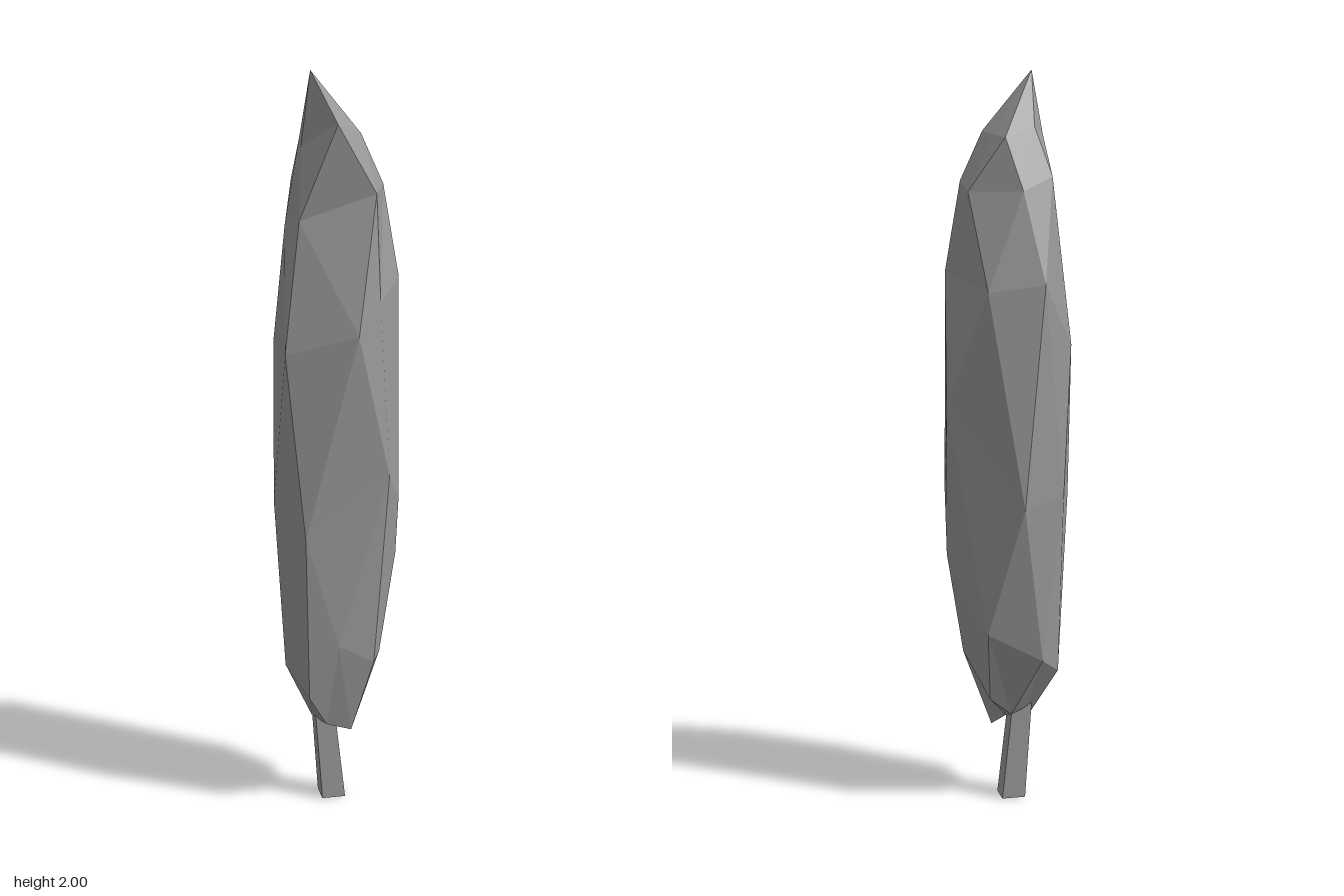
import * as THREE from 'three';

const SIDES = 7;

// Crown cross-sections from bottom to top; each point sits between two of the ring below
const RINGS = [
  // underside
  [[-0.07, 0.24, 0.03], [-0.03, 0.23, 0.08], [0.04, 0.2, 0.05], [0.12, 0.42, 0.02],
    [0.05, 0.3, -0.05], [-0.01, 0.25, -0.03], [-0.05, 0.26, 0]],
  // lower bulge
  [[-0.08, 0.33, 0.14], [0, 0.48, 0.145], [0.1, 0.41, 0.08], [0.165, 0.7, 0],
    [0.06, 0.5, -0.12], [-0.09, 0.42, -0.1], [-0.14, 0.37, -0.02]],
  // middle
  [[-0.09, 0.79, 0.172], [0.135, 0.95, 0.13], [0.168, 0.87, 0.045], [0.167, 1.12, -0.08],
    [-0.035, 0.85, -0.175], [-0.145, 0.88, -0.1], [-0.17, 0.86, 0.03]],
  // upper bulge
  [[0.05, 1.33, 0.172], [0.11, 1.41, 0.115], [0.165, 1.47, 0.025], [0.06, 1.42, -0.147],
    [-0.09, 1.44, -0.15], [-0.165, 1.28, -0.08], [-0.14, 1.28, 0.135]],
  // shoulder
  [[0.1, 1.69, 0.095], [0.125, 1.71, -0.005], [0.107, 1.68, -0.057], [-0.035, 1.68, -0.11],
    [-0.115, 1.72, -0.065], [-0.135, 1.6, 0], [-0.1, 1.62, 0.085]],
  // lopsided step below the tip
  [[0.065, 1.84, 0.015], [0.04, 1.83, -0.03], [0.01, 1.82, -0.075], [-0.07, 1.85, -0.035],
    [-0.095, 1.83, -0.005], [-0.092, 1.81, 0.032], [0, 1.865, 0.095]],
];

// Closed faceted skin over the staggered rings
function foliageGeometry(rings, bottom, tip) {
  const pos = [bottom, ...rings.flat(), tip].flat();
  const at = (k, j) => 1 + k * SIDES + (j % SIDES);
  const last = rings.length - 1;
  const top = 1 + rings.length * SIDES;
  const index = [];
  for (let j = 0; j < SIDES; j++) {
    index.push(0, at(0, j + 1), at(0, j));
    for (let k = 0; k < last; k++) {
      index.push(at(k, j), at(k, j + 1), at(k + 1, j));
      index.push(at(k, j + 1), at(k + 1, j + 1), at(k + 1, j));
    }
    index.push(at(last, j), at(last, j + 1), top);
  }
  const g = new THREE.BufferGeometry();
  g.setAttribute('position', new THREE.Float32BufferAttribute(pos, 3));
  g.setIndex(index);
  const flat = g.toNonIndexed();
  flat.computeVertexNormals();
  return flat;
}

export function createModel() {
  const tree = new THREE.Group();
  tree.name = 'cypressTree';
  const material = new THREE.MeshStandardMaterial({ color: 0x999999, flatShading: true });

  // Tall twisted crown
  const crown = new THREE.Mesh(foliageGeometry(RINGS, [0, 0.23, 0.03], [-0.067, 2, 0.02]), material);
  crown.name = 'foliage';
  tree.add(crown);

  // Square, leaning trunk, continued up inside the crown
  const trunkGeometry = new THREE.CylinderGeometry(0.036, 0.046, 0.36, 4);
  trunkGeometry.rotateY(Math.PI / 4 + 0.15);
  trunkGeometry.translate(0, 0.18, 0);
  const p = trunkGeometry.attributes.position;
  for (let i = 0; i < p.count; i++) p.setX(i, p.getX(i) - 0.09 * p.getY(i));
  const trunk = new THREE.Mesh(trunkGeometry, material);
  trunk.name = 'trunk';
  trunk.position.set(-0.014, 0, 0.026);
  tree.add(trunk);

  return tree;
}
